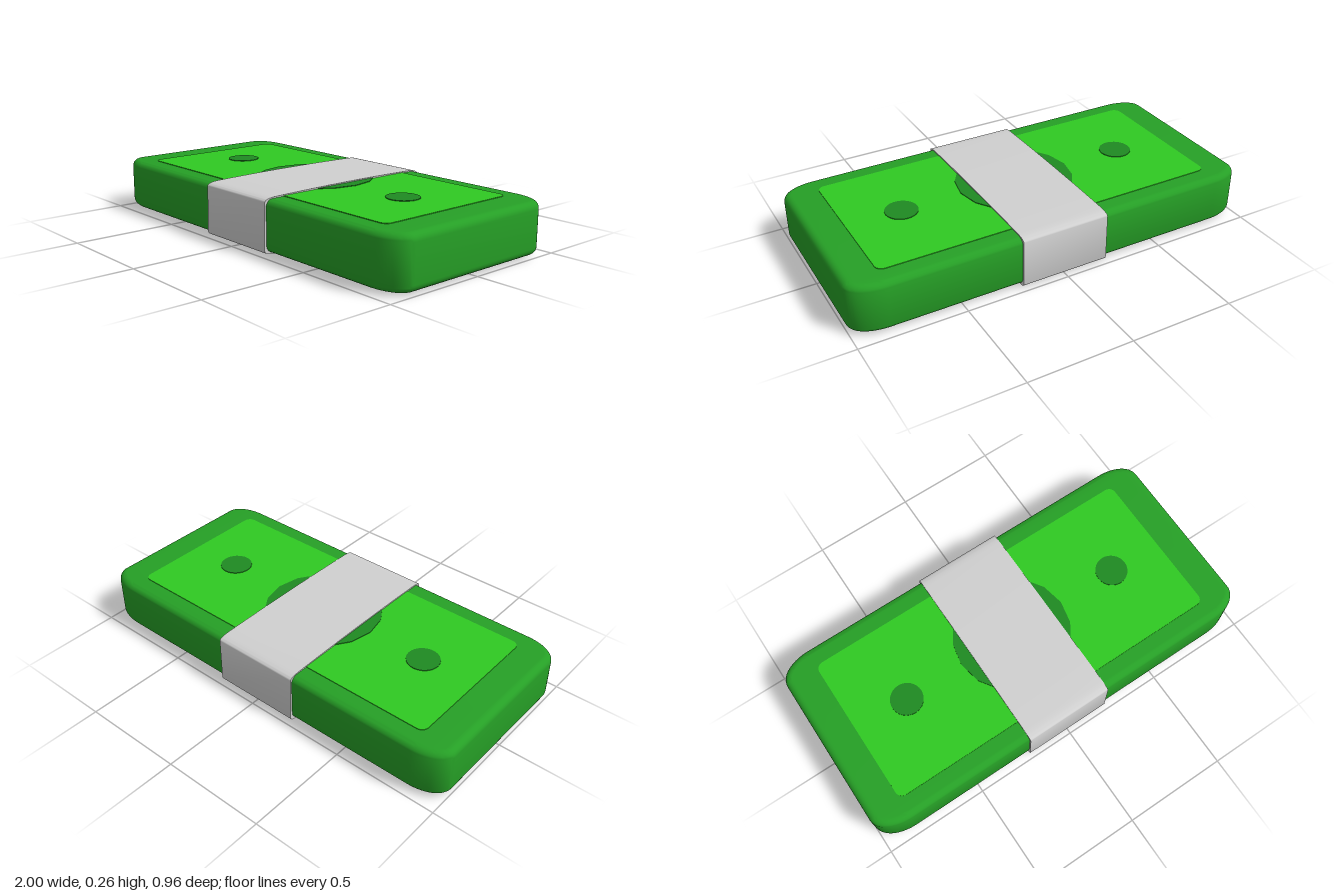
import * as THREE from 'three';
import { toCreasedNormals } from 'three/addons/utils/BufferGeometryUtils.js';

const mat = (name, color) => {
  const m = new THREE.MeshStandardMaterial({ color });
  m.name = name;
  return m;
};

// Rectangle of half sizes a, b with elliptical corners rx, ry
function roundedRect(a, b, rx, ry, Type = THREE.Shape, cy = 0) {
  const s = new Type();
  const k = Math.PI / 2;
  s.moveTo(a, cy - b + ry);
  s.absellipse(a - rx, cy + b - ry, rx, ry, 0, k);
  s.absellipse(-a + rx, cy + b - ry, rx, ry, k, 2 * k);
  s.absellipse(-a + rx, cy - b + ry, rx, ry, 2 * k, 3 * k);
  s.absellipse(a - rx, cy - b + ry, rx, ry, 3 * k, 4 * k);
  return s;
}

export function createModel() {
  const model = new THREE.Group();
  model.name = 'banknoteBundle';
  const green = mat('noteGreen', 0x26a026);
  const light = mat('lightGreen', 0x2fca22);
  const dark = mat('deepGreen', 0x1f8a22);
  const paper = mat('paperBand', 0xd0d0d0);

  const add = (name, geometry, material, x = 0, y = 0, z = 0) => {
    const mesh = new THREE.Mesh(geometry, material);
    mesh.name = name;
    mesh.position.set(x, y, z);
    model.add(mesh);
    return mesh;
  };

  // Bundle body with softly rounded edges
  const bevel = 0.035;
  const body = new THREE.ExtrudeGeometry(roundedRect(1 - bevel, 0.467 - bevel, 0.13, 0.065), {
    depth: 0.24 - 2 * bevel, bevelSize: bevel, bevelThickness: bevel, bevelSegments: 6, curveSegments: 8,
  });
  body.rotateX(-Math.PI / 2);
  add('noteStack', toCreasedNormals(body, 0.7), green, 0, 0.01 + bevel, 0);

  // Light printed panels on top and bottom
  const panel = new THREE.ExtrudeGeometry(roundedRect(0.842, 0.37, 0.035, 0.035), {
    depth: 0.005, bevelEnabled: false, curveSegments: 5,
  });
  panel.rotateX(-Math.PI / 2);
  add('topPanel', panel, light, 0, 0.248, 0);
  add('bottomPanel', panel, light, 0, 0.007, 0);

  // Raised round marks
  add('centreMark', new THREE.CylinderGeometry(0.28, 0.28, 0.006, 16), dark, 0, 0.253, 0);
  for (const side of [-1, 1]) {
    add(side > 0 ? 'leftMark' : 'rightMark',
      new THREE.CylinderGeometry(0.077, 0.077, 0.006, 32), dark, side * 0.576, 0.253, 0);
  }

  // Paper band wrapped around the middle, gently crowned on top
  const wrap = new THREE.Shape();
  wrap.moveTo(-0.44, 0.002);
  wrap.quadraticCurveTo(0, -0.002, 0.44, 0.002);
  wrap.quadraticCurveTo(0.478, 0.004, 0.478, 0.025);
  wrap.lineTo(0.474, 0.238);
  wrap.quadraticCurveTo(0.472, 0.253, 0.42, 0.256);
  wrap.quadraticCurveTo(0, 0.266, -0.42, 0.256);
  wrap.quadraticCurveTo(-0.472, 0.253, -0.474, 0.238);
  wrap.lineTo(-0.478, 0.025);
  wrap.quadraticCurveTo(-0.478, 0.004, -0.44, 0.002);
  wrap.holes.push(roundedRect(0.464, 0.118, 0.04, 0.03, THREE.Path, 0.13));
  const band = new THREE.ExtrudeGeometry(wrap, { depth: 0.43, bevelEnabled: false, curveSegments: 8 });
  band.translate(0, 0, -0.215).rotateY(Math.PI / 2);
  add('paperBand', toCreasedNormals(band, 0.7), paper);

  return model;
}
